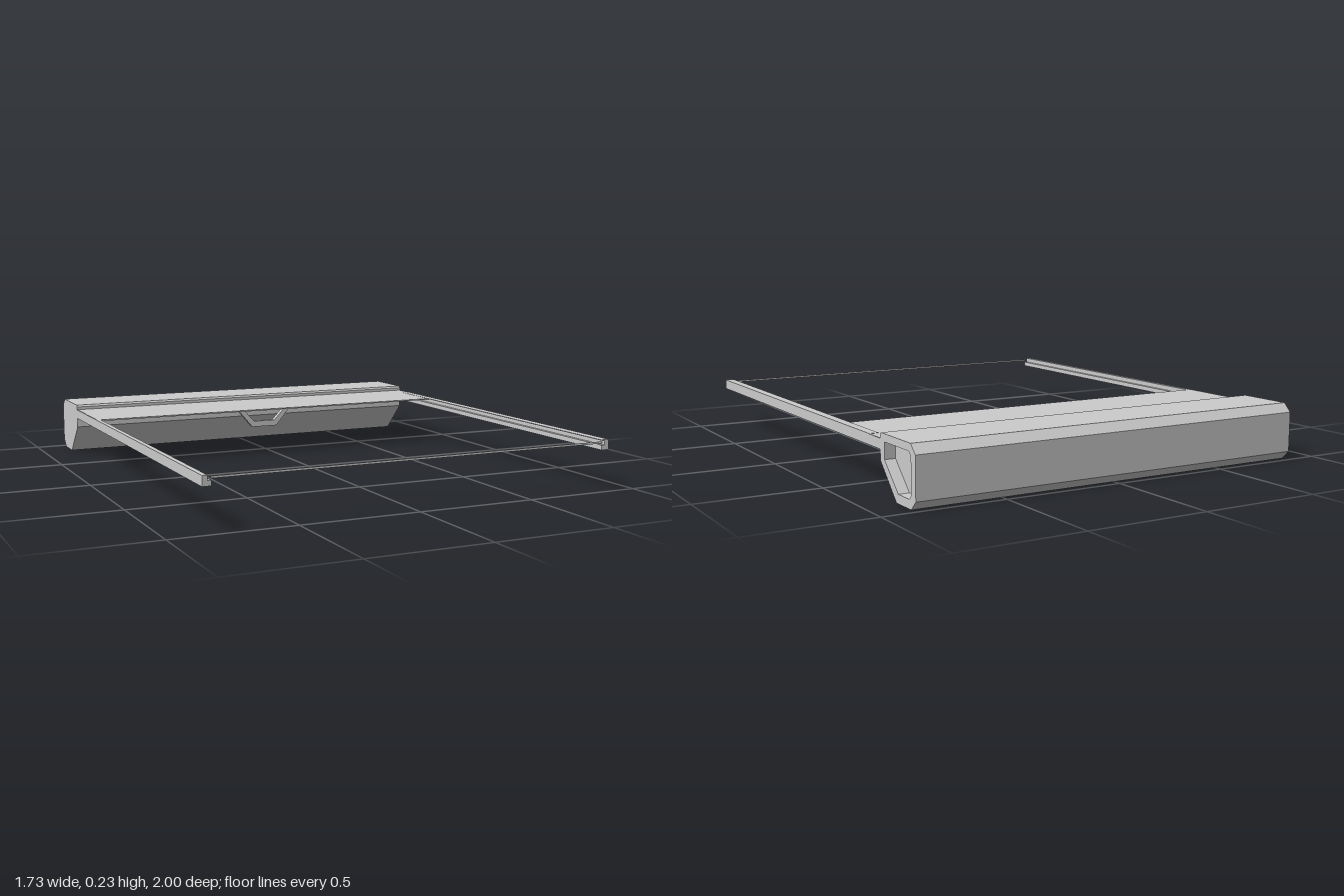
import * as THREE from 'three';

const material = new THREE.MeshStandardMaterial({ color: 0xcccccc, flatShading: true, side: THREE.DoubleSide });

function shapeOf(points) {
  return new THREE.Shape(points.map(([x, y]) => new THREE.Vector2(x, y)));
}

function extrude(shape, depth) {
  return new THREE.ExtrudeGeometry(shape, { depth, bevelEnabled: false });
}

export function createModel() {
  const group = new THREE.Group();
  const add = (name, geometry, x = 0, y = 0, z = 0) => {
    const mesh = new THREE.Mesh(geometry, material);
    mesh.name = name;
    mesh.position.set(x, y, z);
    group.add(mesh);
    return mesh;
  };
  const box = (name, w, h, d, x, y, z) => add(name, new THREE.BoxGeometry(w, h, d), x, y, z);

  // Roller housing, its profile drawn as (distance to the back, height)
  const profile = [
    [0.85, 0], [0.965, 0], [1, 0.035], [1, 0.2], [0.965, 0.235],
    [0.73, 0.235], [0.722, 0.227], [0.722, 0.132],
  ];
  const recess = [
    [0.865, 0.035], [0.95, 0.035], [0.965, 0.05], [0.965, 0.19], [0.95, 0.205],
    [0.757, 0.205], [0.757, 0.14],
  ];
  add('housing', extrude(shapeOf(profile), 1.69).rotateY(Math.PI / 2), -0.867);

  // Rim that leaves the left end of the housing recessed
  const rim = shapeOf(profile);
  rim.holes.push(shapeOf(recess));
  add('housingEndRim', extrude(rim, 0.044).rotateY(Math.PI / 2), 0.823);

  // Stepped side rails
  for (const side of [-1, 1]) {
    const section = [
      [0.867, 0.173], [0.867, 0.213], [0.847, 0.213], [0.847, 0.193], [0.832, 0.193], [0.832, 0.173],
    ].map(([x, y]) => [x * side, y]);
    add(side < 0 ? 'rightRail' : 'leftRail', extrude(shapeOf(section), 1.73), 0, 0, -0.73);
  }

  // Thin cap over the left rail
  box('leftRailCap', 0.037, 0.003, 1.63, 0.8485, 0.2135, 0.185);

  // Pulled-out cover and the thin wire joining the rail ends
  box('cover', 1.73, 0.006, 0.37, 0, 0.211, -0.555);
  box('frontWire', 1.67, 0.008, 0.003, 0, 0.204, 0.9985);

  // Pull handle below the cover
  const handle = shapeOf([
    [-0.14, 0.209], [-0.14, 0.198], [-0.065, 0.11], [0.06, 0.11], [0.135, 0.198], [0.135, 0.209],
    [0.105, 0.209], [0.105, 0.195], [0.05, 0.137], [-0.055, 0.137], [-0.11, 0.195], [-0.11, 0.209],
  ]);
  add('handle', extrude(handle, 0.025), 0, 0, -0.532);

  return group;
}
